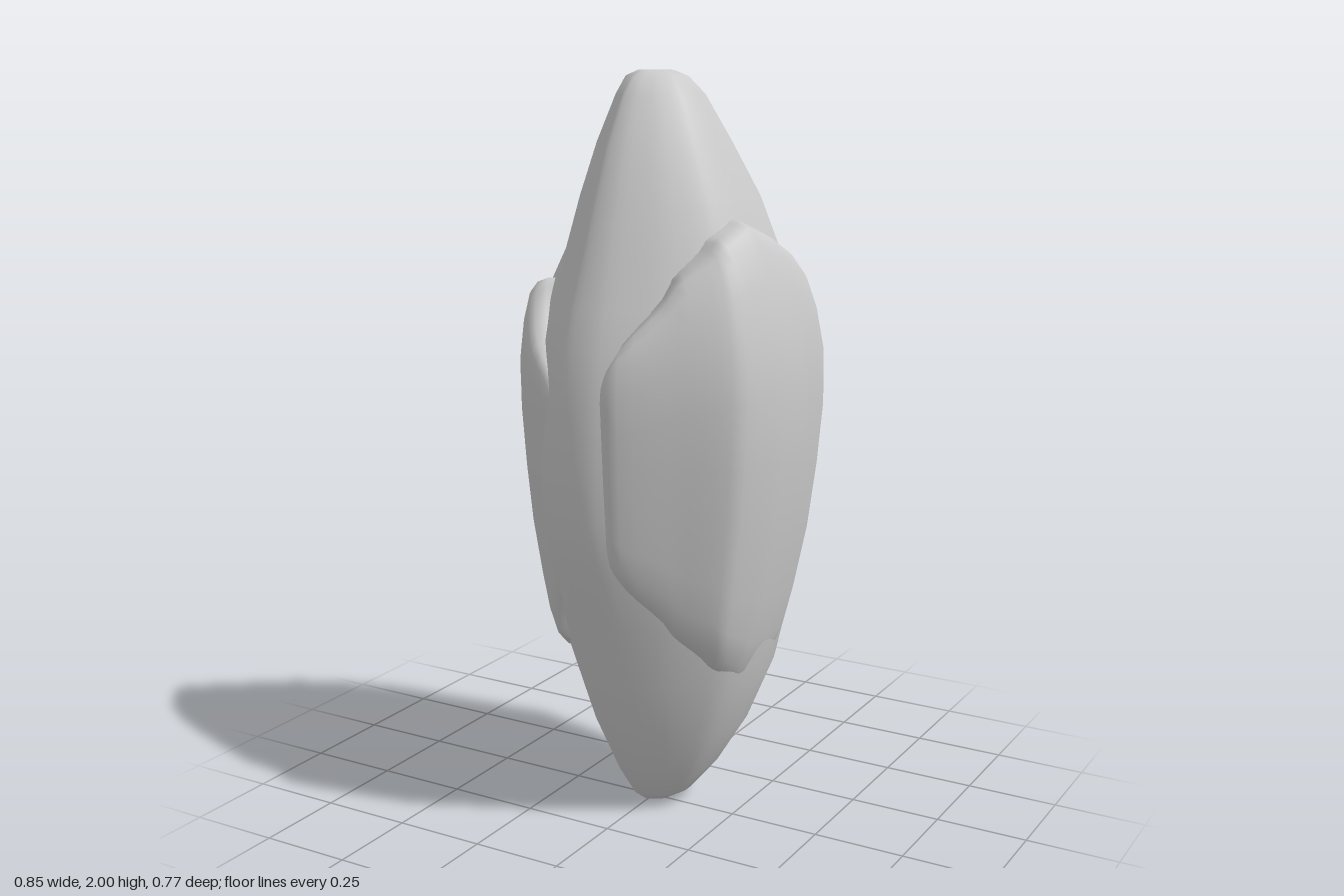
import * as THREE from 'three';

const material = new THREE.MeshStandardMaterial({ color: 0xcccccc, side: THREE.DoubleSide });

// Skin over rows of points; rows run upward, columns run front -> +x -> back
function skin(name, rows, closed) {
  const n = rows[0].length, index = [];
  for (let i = 0; i < rows.length - 1; i++) {
    for (let j = 0; j < (closed ? n : n - 1); j++) {
      const a = i * n + j, b = i * n + (j + 1) % n;
      index.push(a, b, a + n, b, b + n, a + n);
    }
  }
  const geometry = new THREE.BufferGeometry().setFromPoints(rows.flat());
  geometry.setIndex(index);
  geometry.computeVertexNormals();
  const mesh = new THREE.Mesh(geometry, material);
  mesh.name = name;
  return mesh;
}

// Piecewise linear lookup in a list of [key, value]
function lookup(table, key) {
  for (let i = 1; i < table.length; i++) {
    const [k0, v0] = table[i - 1], [k1, v1] = table[i];
    if (key <= k1) return THREE.MathUtils.lerp(v0, v1, Math.max(0, (key - k0) / (k1 - k0)));
  }
  return table[table.length - 1][1];
}

// Core outline seen from above, as fractions of the reach on each side
const plan = [
  [-0.15, 1], [0.1, 0.98], [0.5, 0.76], [0.86, 0.42], [1, 0], [0.99, -0.4], [0.86, -0.66],
  [0.3, -0.94], [0, -1], [-0.2, -0.95], [-0.4, -0.82], [-0.86, -0.46], [-1, -0.24],
  [-0.9, 0.06], [-0.66, 0.48], [-0.3, 0.9],
].map(([x, z]) => new THREE.Vector3(x, 0, z));
const outline = new THREE.CatmullRomCurve3(plan, true, 'catmullrom', 0.4).getPoints(64).slice(0, -1);

// Core reach by height: y, left side -x, right side +x, front, back
const levels = [
  [0.005, 0, 0, 0, 0], [0.01, 0.03, 0.05, 0.04, 0.09], [0.04, 0.06, 0.1, 0.08, 0.13],
  [0.12, 0.13, 0.165, 0.13, 0.175], [0.25, 0.205, 0.24, 0.19, 0.24], [0.42, 0.275, 0.305, 0.245, 0.3],
  [0.58, 0.345, 0.335, 0.285, 0.345], [0.74, 0.39, 0.35, 0.335, 0.383], [0.88, 0.415, 0.36, 0.355, 0.378],
  [1.02, 0.43, 0.37, 0.36, 0.37], [1.18, 0.412, 0.37, 0.355, 0.363], [1.32, 0.395, 0.355, 0.335, 0.355],
  [1.42, 0.355, 0.33, 0.305, 0.338], [1.54, 0.285, 0.3, 0.27, 0.312], [1.68, 0.237, 0.25, 0.225, 0.265],
  [1.82, 0.18, 0.185, 0.175, 0.185], [1.94, 0.12, 0.125, 0.115, 0.11], [1.985, 0.09, 0.085, 0.075, 0.07],
  [2, 0.05, 0.05, 0.04, 0.04], [2, 0, 0, 0, 0],
];

// Slab swell by height, as a fraction of its widest outline
const swell = [
  [0.35, 0.66], [0.45, 0.73], [0.6, 0.82], [0.8, 0.91], [1, 0.965], [1.2, 1],
  [1.3, 0.985], [1.4, 0.94], [1.55, 0.84], [1.65, 0.74],
];

// Slab lying on the core; columns are [x, z, bottom y, top y]
function slab(name, columns) {
  const path = new THREE.CatmullRomCurve3(columns.map(([x, z]) => new THREE.Vector3(x, 0, z)), false, 'catmullrom', 0.3);
  const span = columns.length - 1, steps = span * 5, rows = [];
  // Height fraction and how far the rim is drawn in to meet the core
  const profile = [
    [-0.02, 0.72], [0, 0.9], [0.03, 0.975], [0.1, 1], [0.2, 1], [0.35, 1], [0.5, 1],
    [0.65, 1], [0.78, 1], [0.88, 1], [0.95, 0.99], [0.985, 0.95], [1, 0.87], [1, 0.55],
  ];
  for (const [t, pull] of profile) {
    const row = [];
    for (let j = 0; j <= steps; j++) {
      const u = j / steps, at = u * span, p = path.getPoint(u);
      const low = lookup(columns.map((c, i) => [i, c[2]]), at);
      const high = lookup(columns.map((c, i) => [i, c[3]]), at);
      const y = THREE.MathUtils.lerp(low, high, t), s = lookup(swell, y) * pull;
      row.push(new THREE.Vector3(p.x * s, y, p.z * s));
    }
    rows.push(row);
  }
  return skin(name, rows, false);
}

export function createModel() {
  const model = new THREE.Group();
  model.name = 'rock';

  // Tapered body
  const rings = levels.map(([y, left, right, front, back]) => outline.map((p) =>
    new THREE.Vector3(p.x * (p.x < 0 ? left : right), y, p.z * (p.z < 0 ? back : front))));
  model.add(skin('rockCore', rings, true));

  // Thick slab wrapping the front and the +x side
  model.add(slab('largeSlab', [
    [0.02, 0.31, 0.82, 1.22], [0.09, 0.385, 0.74, 1.31], [0.25, 0.3, 0.58, 1.5], [0.375, 0.218, 0.49, 1.59],
    [0.42, 0.08, 0.41, 1.64], [0.425, -0.06, 0.4, 1.6], [0.425, -0.16, 0.42, 1.54],
    [0.375, -0.23, 0.5, 1.49], [0.27, -0.2, 0.6, 1.4],
  ]));

  // Thin slab on the -x front corner
  model.add(slab('smallSlab', [
    [-0.4, -0.04, 0.9, 1.2], [-0.385, 0.05, 0.72, 1.45], [-0.3, 0.19, 0.46, 1.47],
    [-0.23, 0.265, 0.5, 1.36], [-0.1, 0.33, 0.75, 1.2],
  ]));
  return model;
}
